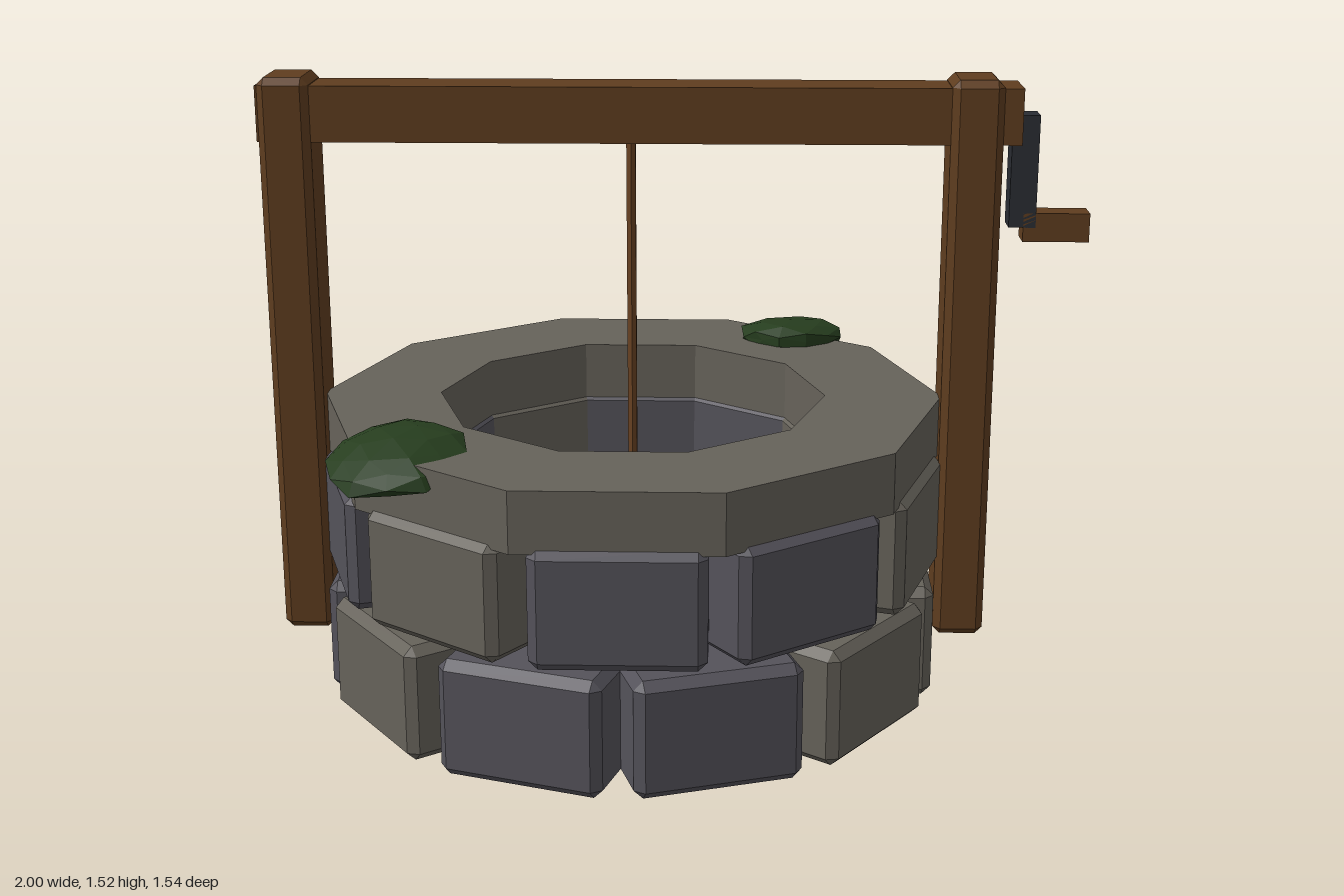
import * as THREE from 'three';
import { ConvexGeometry } from 'three/addons/geometries/ConvexGeometry.js';

const mat = (color) => new THREE.MeshStandardMaterial({ color, flatShading: true });
const mats = {
  warmStone: mat(0x66625a), coolStone: mat(0x54525a), rim: mat(0x66625a), floor: mat(0x3a3b42),
  wood: mat(0x5f3d1f), rope: mat(0x6b4423), iron: mat(0x2a2d33), moss: mat(0x263d1e),
};
const WELL_X = -0.107;

// Box with every edge cut at 45 degrees
function chamferBox(w, h, d, c) {
  const pts = [];
  for (const x of [-1, 1]) for (const y of [-1, 1]) for (const z of [-1, 1]) {
    const a = w / 2, b = h / 2, e = d / 2;
    pts.push(new THREE.Vector3(x * a, y * (b - c), z * (e - c)));
    pts.push(new THREE.Vector3(x * (a - c), y * b, z * (e - c)));
    pts.push(new THREE.Vector3(x * (a - c), y * (b - c), z * e));
  }
  return new ConvexGeometry(pts);
}

function add(parent, name, geometry, material, x = 0, y = 0, z = 0) {
  const mesh = new THREE.Mesh(geometry, material);
  mesh.name = name;
  mesh.position.set(x, y, z);
  parent.add(mesh);
  return mesh;
}

// Box given by its limits in x and y, centred on z = 0
function bar(parent, name, material, x0, x1, y0, y1, depth, chamfer = 0) {
  const w = x1 - x0, h = y1 - y0;
  const geo = chamfer ? chamferBox(w, h, depth, chamfer) : new THREE.BoxGeometry(w, h, depth);
  return add(parent, name, geo, material, (x0 + x1) / 2, (y0 + y1) / 2, 0);
}

function decagon(target, r) {
  const pts = [];
  for (let i = 0; i < 10; i++) {
    const a = i * Math.PI / 5;
    pts.push(new THREE.Vector2(r * Math.cos(a), r * Math.sin(a)));
  }
  return target.setFromPoints(pts);
}

// Flattened, irregular faceted clump
function mossGeometry(seed, rx, ry, rz) {
  const geo = new THREE.IcosahedronGeometry(1, 1);
  const p = geo.attributes.position;
  const v = new THREE.Vector3();
  for (let i = 0; i < p.count; i++) {
    v.fromBufferAttribute(p, i);
    const n = Math.sin(v.x * 5.1 + seed) * Math.cos(v.z * 4.3 - seed) + Math.sin(v.y * 3.7 + seed * 2);
    v.multiplyScalar(0.95 + 0.08 * n);
    p.setXYZ(i, v.x * rx, v.y * ry, v.z * rz);
  }
  geo.computeVertexNormals();
  return geo;
}

export function createModel() {
  const model = new THREE.Group();
  model.name = 'well';

  // Two staggered courses of ten blocks; c = cool grey, w = warm grey
  const blockGeo = chamferBox(0.4, 0.288, 0.3, 0.022);
  const courses = [
    { name: 'lowerCourse', y: 0.146, offset: 0.5, tones: 'cwwccwccwc' },
    { name: 'upperCourse', y: 0.45, offset: 0, tones: 'ccwwccwccw' },
  ];
  for (const course of courses) {
    const ring = new THREE.Group();
    ring.name = course.name;
    ring.position.set(WELL_X, course.y, 0);
    for (let i = 0; i < 10; i++) {
      const a = (i + course.offset) * Math.PI / 5;
      const m = course.tones[i] === 'w' ? mats.warmStone : mats.coolStone;
      add(ring, 'stoneBlock', blockGeo, m, 0.6 * Math.sin(a), 0, 0.6 * Math.cos(a)).rotation.y = a;
    }
    model.add(ring);
  }

  // Ten-sided capping ring
  const rimShape = decagon(new THREE.Shape(), 0.77);
  rimShape.holes.push(decagon(new THREE.Path(), 0.48));
  const rimGeo = new THREE.ExtrudeGeometry(rimShape, { depth: 0.148, bevelEnabled: false });
  rimGeo.rotateX(-Math.PI / 2);
  add(model, 'rim', rimGeo, mats.rim, WELL_X, 0.58, 0);

  // Floor of the shaft
  add(model, 'shaftFloor', new THREE.CylinderGeometry(0.43, 0.43, 0.02, 10), mats.floor, WELL_X, 0.05, 0);

  // Timber frame
  bar(model, 'rightPost', mats.wood, -0.995, -0.87, 0.12, 1.525, 0.17, 0.018);
  bar(model, 'leftPost', mats.wood, 0.655, 0.78, 0.12, 1.525, 0.17, 0.018);
  bar(model, 'crossBeam', mats.wood, -1, 0.825, 1.37, 1.505, 0.135);

  // Crank
  bar(model, 'crankArm', mats.iron, 0.805, 0.87, 1.165, 1.437, 0.07);
  bar(model, 'crankHandle', mats.wood, 0.84, 1, 1.13, 1.2, 0.07);

  // Rope hanging into the shaft
  add(model, 'rope', new THREE.CylinderGeometry(0.013, 0.013, 0.95, 6), mats.rope, WELL_X, 0.925, 0);

  // Moss clumps drooping over the rim
  add(model, 'frontMoss', mossGeometry(1.3, 0.165, 0.05, 0.17), mats.moss, -0.627, 0.715, 0.467)
    .rotation.set(0.2, 0, 0.08);
  add(model, 'backMoss', mossGeometry(2.4, 0.155, 0.043, 0.14), mats.moss, 0.305, 0.732, -0.562)
    .rotation.set(-0.08, 0.3, 0);

  return model;
}
